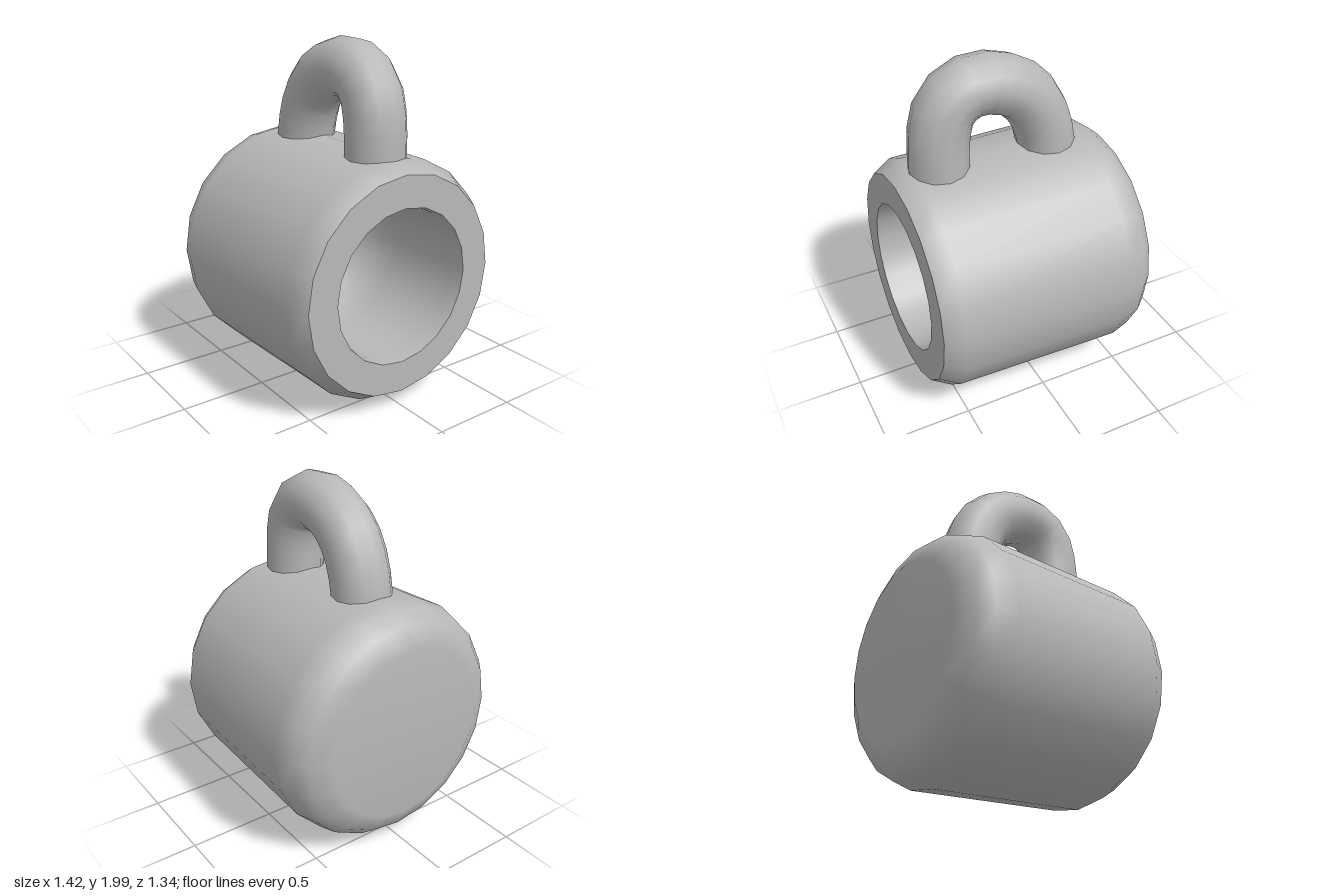
import * as THREE from 'three';

const SIDES = 20;
const AXIS_Y = 0.715;

export function createModel() {
  const group = new THREE.Group();
  group.name = 'mug';
  const ceramic = new THREE.MeshStandardMaterial({ color: 0xb8b8b8 });
  ceramic.name = 'grey ceramic';

  // Turned part from [radius, z] pairs, with its axis laid along z
  const turned = (name, profile) => {
    const points = profile.map(([r, z]) => new THREE.Vector2(r, z));
    const geometry = new THREE.LatheGeometry(points, SIDES).rotateX(Math.PI / 2);
    const mesh = new THREE.Mesh(geometry, ceramic);
    mesh.name = name;
    mesh.position.y = AXIS_Y;
    group.add(mesh);
  };

  // Outer wall, slightly wider at the rounded closed end
  turned('outerWall', [
    [0, -0.67], [0.5, -0.67], [0.62, -0.61], [0.68, -0.54],
    [0.71, -0.43], [0.685, 0.56], [0.62, 0.67],
  ]);

  // Flat lip around the opening
  turned('rim', [[0.62, 0.67], [0.44, 0.67]]);

  // Hollow with a bowl-shaped bottom
  const hollow = [[0.44, 0.67], [0.432, 0.6], [0.43, 0.1]];
  for (let i = 1; i <= 8; i++) {
    const a = (i / 8) * Math.PI / 2;
    hollow.push([i === 8 ? 0 : 0.43 * Math.cos(a), 0.1 - 0.5 * Math.sin(a)]);
  }
  turned('hollow', hollow);

  // Looped handle, leaning toward the closed end, as [y, z] centre points
  const path = [
    [1.3, 0.41], [1.45, 0.41], [1.6, 0.4], [1.72, 0.365], [1.79, 0.3],
    [1.825, 0.22], [1.83, 0.14], [1.81, 0.05], [1.765, -0.05],
    [1.68, -0.14], [1.57, -0.2], [1.42, -0.24], [1.3, -0.25],
  ].map(([y, z]) => new THREE.Vector3(0, y, z));
  const handle = new THREE.Mesh(
    new THREE.TubeGeometry(new THREE.CatmullRomCurve3(path), 14, 0.17, 12), ceramic);
  handle.name = 'handle';
  group.add(handle);

  return group;
}
